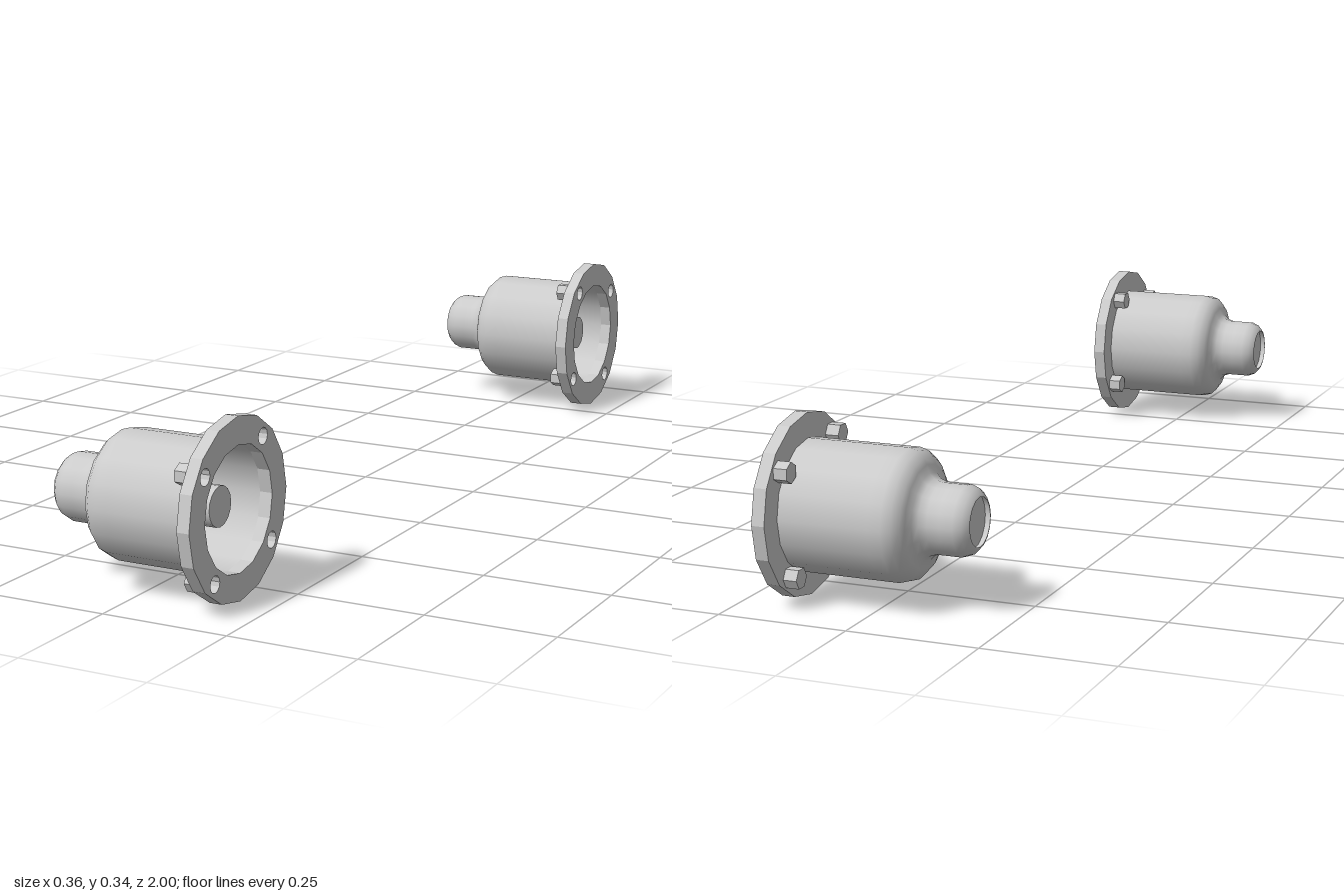
import * as THREE from 'three';

const SIDES = 16, AXIS_Y = 0.169;
const BOLT_RADIUS = 0.142, BOLT_PHASE = 0.65;
const grey = new THREE.MeshStandardMaterial({ color: 0xcccccc });
const faceted = new THREE.MeshStandardMaterial({ color: 0xcccccc, flatShading: true });

function add(group, name, geometry, material = grey) {
  const mesh = new THREE.Mesh(geometry, material);
  mesh.name = name;
  group.add(mesh);
  return mesh;
}

// Lathe around the x axis; points are [x, radius]
function turned(points) {
  const profile = points.map(([x, r]) => new THREE.Vector2(r, x));
  return new THREE.LatheGeometry(profile, SIDES).rotateZ(-Math.PI / 2);
}

// Cylinder along x between two stations
function rod(x0, x1, r, sides) {
  return new THREE.CylinderGeometry(r, r, x1 - x0, sides)
    .rotateZ(-Math.PI / 2).translate((x0 + x1) / 2, 0, 0);
}

function polygon(r, n, cx = 0, cy = 0) {
  return Array.from({ length: n }, (_, i) => {
    const a = (i / n) * Math.PI * 2;
    return new THREE.Vector2(cx + r * Math.cos(a), cy + r * Math.sin(a));
  });
}

// One bell-shaped housing; side = 1 or -1 mirrors the bolt pattern in z
function createHousing(side) {
  const housing = new THREE.Group();
  const bolts = [0, 1, 2, 3].map((k) => {
    const a = BOLT_PHASE + (k * Math.PI) / 2;
    return { z: side * BOLT_RADIUS * Math.cos(a), y: BOLT_RADIUS * Math.sin(a), k };
  });

  // Outer skin, from the nose lip to the flange
  add(housing, 'outerShell', turned([
    [-0.18, 0.045], [-0.179, 0.049], [-0.17, 0.059], [-0.155, 0.065], [-0.13, 0.065],
    [-0.107, 0.065], [-0.093, 0.07], [-0.084, 0.079], [-0.079, 0.094], [-0.074, 0.105],
    [-0.062, 0.117], [-0.045, 0.122], [-0.02, 0.122], [0.155, 0.122],
  ]));

  // Inner skin, following the outer one back to the lip
  add(housing, 'innerShell', turned([
    [0.155, 0.117], [-0.02, 0.117], [-0.042, 0.114], [-0.058, 0.104], [-0.068, 0.085],
    [-0.078, 0.068], [-0.09, 0.059], [-0.105, 0.055], [-0.15, 0.055], [-0.166, 0.051],
    [-0.18, 0.045],
  ]));

  // Seal recessed in the nose, and the shaft it carries
  add(housing, 'noseSeal', rod(-0.168, -0.155, 0.05, SIDES), faceted);
  add(housing, 'shaft', rod(-0.165, 0.14, 0.038, SIDES));

  // Flange with a bore and four bolt holes
  const outline = new THREE.Shape(polygon(0.169, SIDES));
  outline.holes.push(new THREE.Path(polygon(0.117, SIDES)));
  for (const b of bolts) outline.holes.push(new THREE.Path(polygon(0.016, 12, -b.z, b.y)));
  add(housing, 'flange',
    new THREE.ExtrudeGeometry(outline, { depth: 0.025, bevelEnabled: false })
      .rotateY(Math.PI / 2).translate(0.154, 0, 0), faceted);

  // Hex nuts behind the flange
  for (const b of bolts) {
    const nut = add(housing, 'nut', rod(0.128, 0.155, 0.02, 6), faceted);
    nut.position.set(0, b.y, b.z);
    nut.rotation.x = b.k % 2 ? 0 : Math.PI / 2;
  }

  housing.position.set(0, AXIS_Y, side * 0.831);
  return housing;
}

export function createModel() {
  const model = new THREE.Group();
  model.name = 'housingPair';
  for (const side of [1, -1]) {
    const housing = createHousing(side);
    housing.name = side > 0 ? 'frontHousing' : 'backHousing';
    model.add(housing);
  }
  return model;
}
